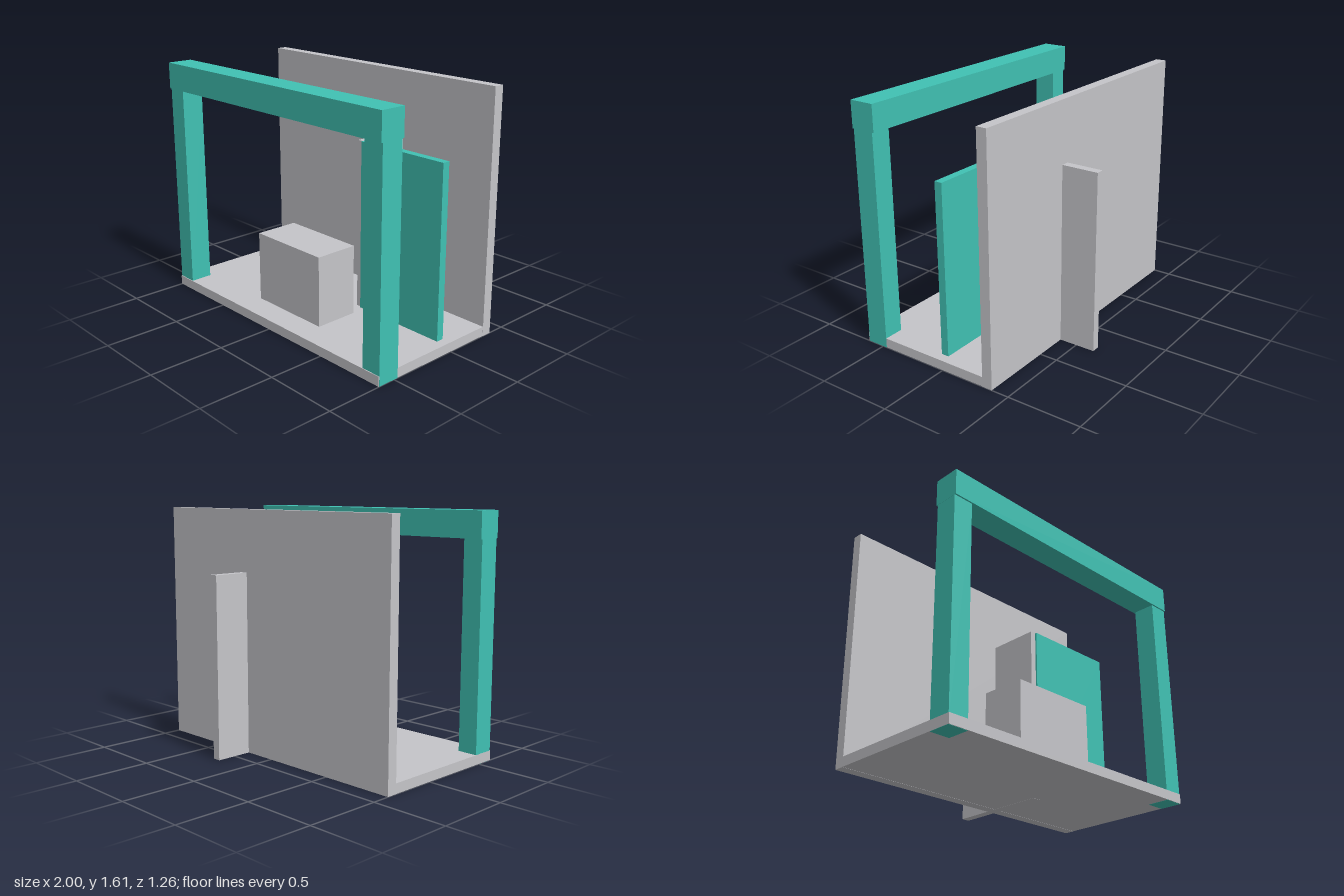
import * as THREE from 'three';

export function createModel() {
  const group = new THREE.Group();
  const grey = new THREE.MeshStandardMaterial({ color: 0xc5c5c9 });
  grey.name = 'light grey';
  const teal = new THREE.MeshStandardMaterial({ color: 0x40c1b3 });
  teal.name = 'teal';

  // Box given by its [min, max] extent on each axis
  function block(name, material, [x0, x1], [y0, y1], [z0, z1]) {
    const mesh = new THREE.Mesh(new THREE.BoxGeometry(x1 - x0, y1 - y0, z1 - z0), material);
    mesh.position.set((x0 + x1) / 2, (y0 + y1) / 2, (z0 + z1) / 2);
    mesh.name = name;
    group.add(mesh);
  }

  // Floor and walls; tiny insets keep shared faces from flickering
  block('floor', grey, [-1, 0.999], [0.001, 0.065], [-0.31, 0.625]);
  block('backWall', grey, [-1, 1], [0, 1.605], [-0.38, -0.31]);
  block('partitionWall', grey, [0.22, 0.275], [0, 1.199], [-0.63, 0.045]);

  // Counter block standing on the floor
  block('counter', grey, [-0.3, 0.295], [0.065, 0.535], [0.15, 0.45]);

  // Coloured panel beside the partition
  block('panel', teal, [0.262, 0.937], [0.065, 1.2], [0.005, 0.057]);

  // Front portal: two posts and a beam
  block('rightPost', teal, [-0.999, -0.864], [0, 1.43], [0.47, 0.62]);
  block('leftPost', teal, [0.863, 1], [0, 1.43], [0.47, 0.62]);
  block('beam', teal, [-1, 1], [1.43, 1.605], [0.458, 0.63]);

  return group;
}
